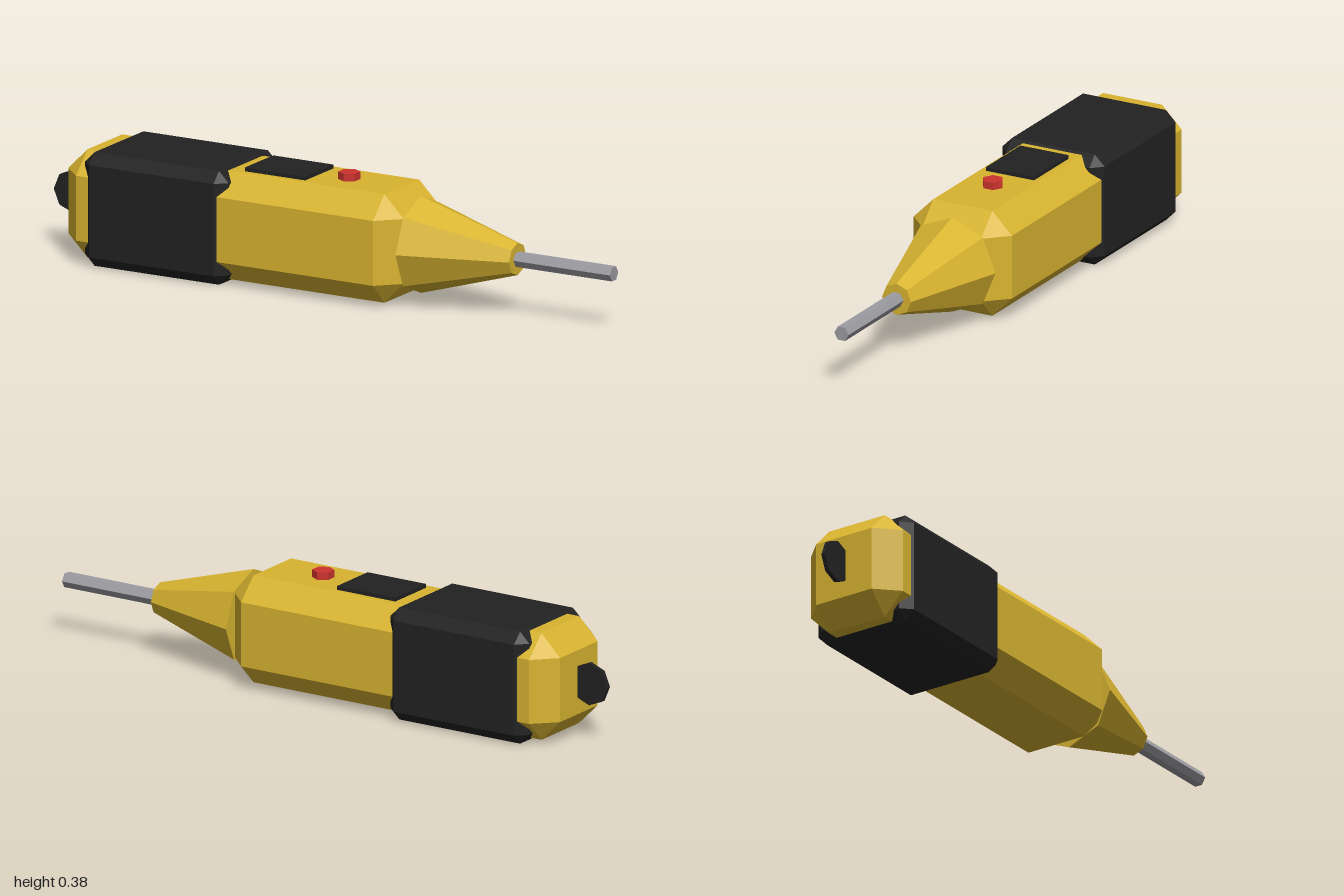
import * as THREE from 'three';
import { ConvexGeometry } from 'three/addons/geometries/ConvexGeometry.js';

const mat = (name, color) => Object.assign(new THREE.MeshStandardMaterial({ color, flatShading: true }), { name });

// Box with every edge and corner cut flat; cuts are given per axis
function chamferedBox([w, h, d], [cx, cy, cz]) {
  const points = [];
  for (const sx of [-1, 1]) for (const sy of [-1, 1]) for (const sz of [-1, 1]) {
    const x = w / 2, y = h / 2, z = d / 2;
    points.push(
      new THREE.Vector3(sx * x, sy * (y - cy), sz * (z - cz)),
      new THREE.Vector3(sx * (x - cx), sy * y, sz * (z - cz)),
      new THREE.Vector3(sx * (x - cx), sy * (y - cy), sz * z));
  }
  return new ConvexGeometry(points);
}

export function createModel() {
  const group = new THREE.Group();
  const yellow = mat('yellow casing', 0xd9b430);
  const black = mat('black rubber', 0x222222);
  const red = mat('red button', 0xcc332d);
  const steel = mat('grey steel', 0x9c9ca2);
  const axisY = 0.181;

  const add = (name, geometry, material, x, y, z = 0) => {
    const mesh = new THREE.Mesh(geometry, material);
    mesh.name = name;
    mesh.position.set(x, y, z);
    group.add(mesh);
    return mesh;
  };
  // Cylinder or cone lying along +x
  const alongX = (r0, r1, length, sides) =>
    new THREE.CylinderGeometry(r1, r0, length, sides).rotateZ(-Math.PI / 2);

  // Casing and the rubber grip wrapped around its rear
  add('body', chamferedBox([1.2, 0.344, 0.346], [0.069, 0.069, 0.069]), yellow, -0.29, 0.182);
  add('grip', chamferedBox([0.513, 0.361, 0.36], [0.034, 0.034, 0.034]), black, -0.548, 0.1805);

  // Tapered nose and hexagonal tip
  add('nose', alongX(0.154, 0.051, 0.345, 8), yellow, 0.4825, axisY);
  add('tip', alongX(0.025, 0.025, 0.36, 6), steel, 0.82, axisY);

  // Controls on top
  add('switchPanel', new THREE.BoxGeometry(0.216, 0.03, 0.17), black, -0.162, 0.351);
  add('button', new THREE.CylinderGeometry(0.034, 0.034, 0.04, 6), red, 0.053, 0.358);

  // Thin hanging tab at the back
  add('rearTab', new THREE.CylinderGeometry(0.068, 0.068, 0.014, 8).rotateX(Math.PI / 2), black, -0.932, 0.183);

  return group;
}
